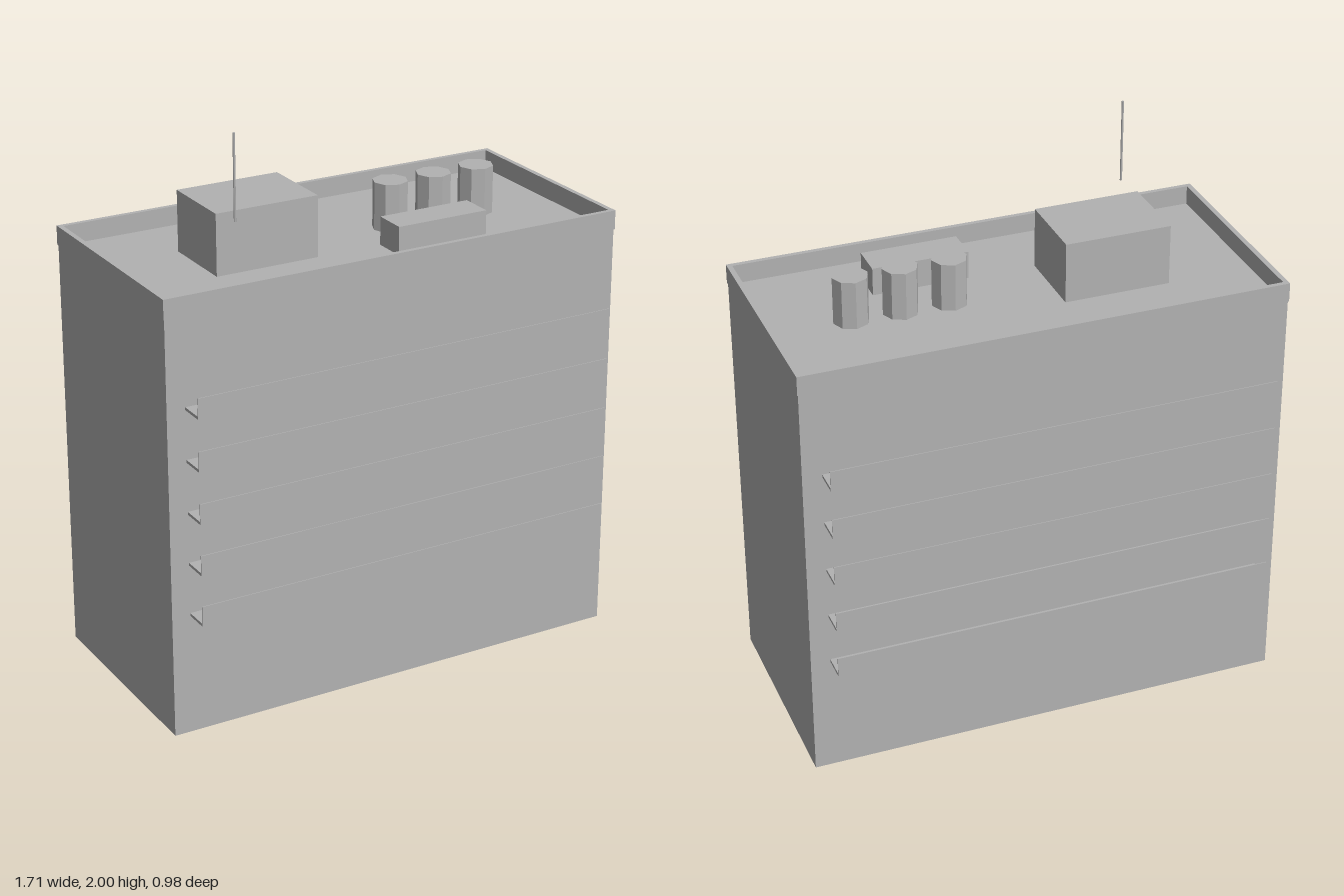
import * as THREE from 'three';

export function createModel() {
  const model = new THREE.Group();
  model.name = 'apartmentBlock';
  const concrete = new THREE.MeshStandardMaterial({ color: 0xb2b2b2, side: THREE.DoubleSide });
  concrete.name = 'concrete grey';

  const add = (name, geometry, x, y, z, parent = model) => {
    const mesh = new THREE.Mesh(geometry, concrete);
    mesh.name = name;
    mesh.position.set(x, y, z);
    parent.add(mesh);
    return mesh;
  };
  // Box given by its minimum and maximum on each axis
  const addBox = (name, [x0, x1], [y0, y1], [z0, z1], parent) =>
    add(name, new THREE.BoxGeometry(x1 - x0, y1 - y0, z1 - z0),
      (x0 + x1) / 2, (y0 + y1) / 2, (z0 + z1) / 2, parent);

  const roofY = 1.487, topY = 1.555;

  // Walls and roof: a box without its bottom face
  const shell = new THREE.BoxGeometry(1.708, roofY, 0.798);
  const index = Array.from(shell.index.array);
  index.splice(18, 6);
  shell.setIndex(index);
  shell.clearGroups();
  add('wallsAndRoof', shell, 0, roofY / 2, 0);

  // Parapet: a slightly overhanging rectangular ring
  const rectangle = (Type, hw, hd) => {
    const r = new Type();
    r.moveTo(-hw, -hd).lineTo(hw, -hd).lineTo(hw, hd).lineTo(-hw, hd).closePath();
    return r;
  };
  const ring = rectangle(THREE.Shape, 0.857, 0.402);
  ring.holes.push(rectangle(THREE.Path, 0.839, 0.385));
  const parapet = new THREE.ExtrudeGeometry(ring, { depth: topY - roofY, bevelEnabled: false });
  parapet.rotateX(-Math.PI / 2);
  add('parapet', parapet, 0, roofY, 0);

  // Long balconies on the front and back, five floors each
  for (const side of [1, -1]) {
    for (let floor = 0; floor < 5; floor++) {
      const y = 0.433 + floor * 0.1835;
      const balcony = new THREE.Group();
      balcony.name = (side > 0 ? 'front' : 'back') + 'Balcony' + (floor + 1);
      const slabZ = [0.399, 0.488], railZ = [0.485, 0.488];
      addBox('balconySlab', [-0.788, 0.786], [y, y + 0.01], slabZ, balcony);
      addBox('balconyRailing', [-0.788, 0.786], [y + 0.01, y + 0.072], railZ, balcony);
      for (const part of balcony.children) part.position.z *= side;
      model.add(balcony);
    }
  }

  // Rooftop equipment
  addBox('stairHouse', [-0.535, -0.158], [roofY, 1.703], [-0.14, 0.14]);
  addBox('ventilationUnit', [0.083, 0.425], [roofY, 1.587], [0.138, 0.26]);
  for (let i = 0; i < 3; i++) {
    const tank = new THREE.CylinderGeometry(0.062, 0.062, 1.657 - roofY, 8).toNonIndexed();
    tank.computeVertexNormals();
    add('waterTank' + (i + 1), tank, 0.203 + i * 0.172, (roofY + 1.657) / 2, 0);
  }

  // Thin mast
  add('antenna', new THREE.CylinderGeometry(0.004, 0.004, 0.297, 6), -0.517, 1.8515, 0.24);

  return model;
}
